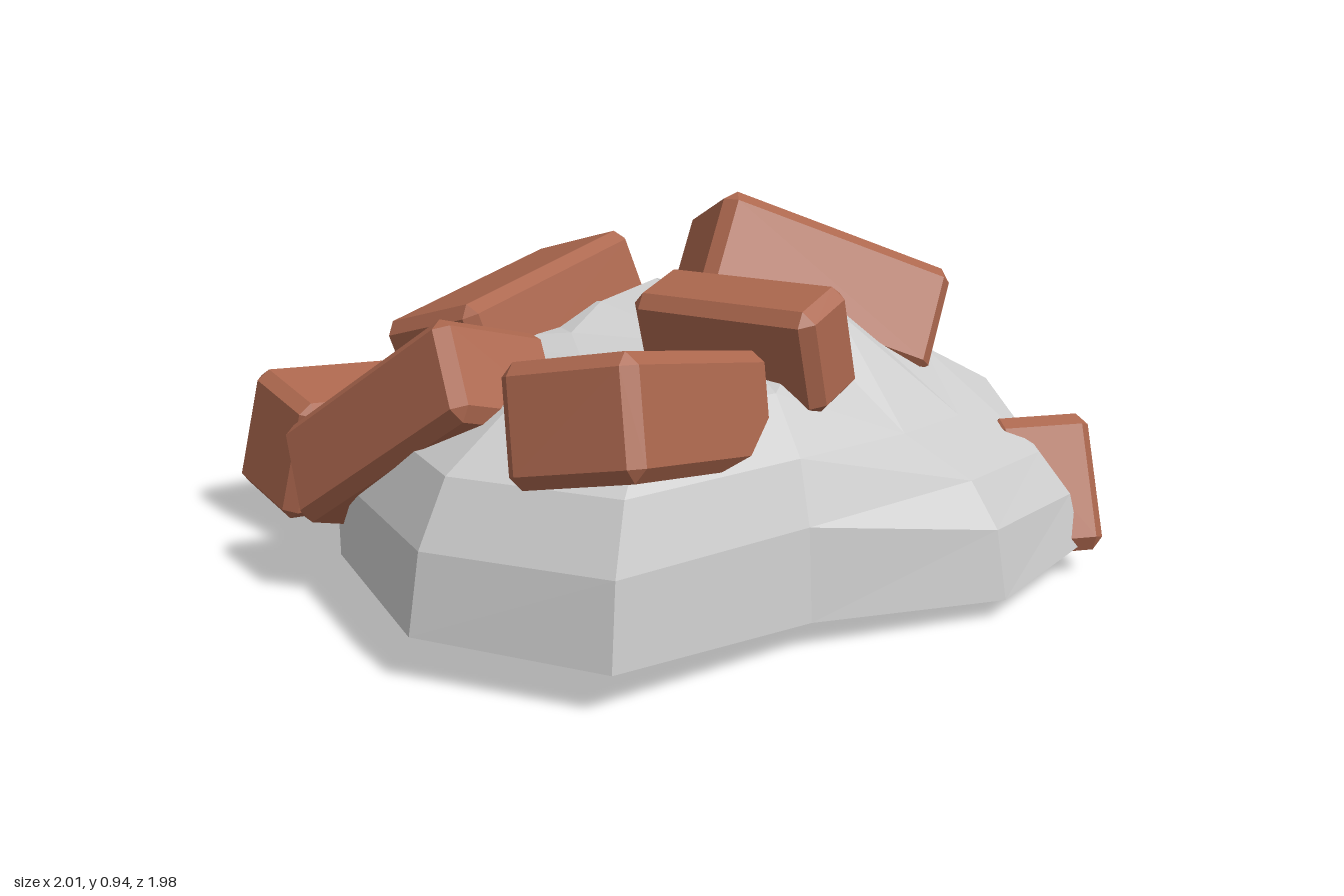
import * as THREE from 'three';
import { ConvexGeometry } from 'three/addons/geometries/ConvexGeometry.js';

// Chamfered brick: centre, long axis, rough up axis, [width, height, length], lowest allowed y
function brickGeometry(center, along, up, size = [0.31, 0.27, 0.65], floor = 0) {
  const L = new THREE.Vector3(...along).normalize();
  const W = new THREE.Vector3(...up).cross(L).normalize();
  const U = L.clone().cross(W);
  const matrix = new THREE.Matrix4().makeBasis(W, U, L).setPosition(...center);
  const bevel = 0.03;
  const points = [];
  for (const sx of [-1, 1]) for (const sy of [-1, 1]) for (const sz of [-1, 1]) {
    // three points per corner, each touching one face
    for (let face = 0; face < 3; face++) {
      const c = [sx, sy, sz].map((s, i) => s * (size[i] / 2 - (i === face ? 0 : bevel)));
      const p = new THREE.Vector3(...c).applyMatrix4(matrix);
      p.y = Math.max(p.y, floor);
      points.push(p);
    }
  }
  return new ConvexGeometry(points);
}

// Open-bottomed heap: an irregular outline shrunk towards the peak ring by ring
function moundGeometry() {
  // x, z, base height, height factor
  const outline = [
    [0.14, 0.99, 0.11, 1], [0.6, 0.84, 0.1, 1], [0.72, 0.28, 0.07, 0.98],
    [0.97, -0.17, 0.05, 0.74], [0.97, -0.55, 0.08, 0.72], [0.62, -0.85, 0.1, 0.9],
    [0.14, -0.95, 0.1, 0.93], [-0.33, -0.5, 0.12, 1], [-0.74, -0.58, 0.1, 0.95],
    [-0.85, -0.05, 0.1, 1], [-0.66, 0.5, 0.11, 1], [-0.3, 0.8, 0.14, 1],
  ];
  const rings = [[1, 0], [0.965, 0.3], [0.88, 0.45], [0.67, 0.57], [0.35, 0.62]];
  const peak = [0.14, 0.57, -0.05];
  const n = outline.length;
  const last = rings.length - 1;
  const positions = [], index = [];
  rings.forEach(([scale, height], r) => {
    for (const [x, z, base, factor] of outline) {
      const pz = peak[2] + (z - peak[2]) * scale;
      // the innermost ring slopes down towards the front
      const y = r === 0 ? base : r === last ? height - 0.2 * pz : height * factor;
      positions.push(peak[0] + (x - peak[0]) * scale, y, pz);
    }
  });
  positions.push(...peak);
  for (let r = 0; r <= last; r++) {
    for (let i = 0; i < n; i++) {
      const a = r * n + i, b = r * n + (i + 1) % n;
      if (r === last) index.push(a, b, rings.length * n);
      else index.push(a, b, b + n, a, b + n, a + n);
    }
  }
  const geometry = new THREE.BufferGeometry();
  geometry.setAttribute('position', new THREE.Float32BufferAttribute(positions, 3));
  geometry.setIndex(index);
  geometry.computeVertexNormals();
  return geometry;
}

export function createModel() {
  const group = new THREE.Group();
  group.name = 'brickRubblePile';
  const stone = new THREE.MeshStandardMaterial({ color: 0xcccccc, flatShading: true, side: THREE.DoubleSide });
  const clay = new THREE.MeshStandardMaterial({ color: 0xac674e, flatShading: true });

  const add = (name, geometry, material) => {
    const mesh = new THREE.Mesh(geometry, material);
    mesh.name = name;
    group.add(mesh);
  };

  add('mound', moundGeometry(), stone);

  const bricks = {
    // resting against the sides
    lowRightBrick: [[-0.8, 0.215, 0.25], [-0.14, 0.11, 0.98], [0.22, 0.97, 0], [0.28, 0.34, 0.65]],
    lowBackBrick: [[0.665, 0.11, -0.69], [0.73, 0.41, 0.55], [-0.33, 0.91, -0.25], [0.27, 0.35, 0.63], 0.04],
    frontBrick: [[-0.2, 0.435, 0.62], [0.82, 0.57, -0.08], [-0.54, 0.8, -0.3], [0.34, 0.26, 0.65]],
    // lying on top
    rightTopBrick: [[-0.39, 0.57, 0.06], [0.04, -0.16, 0.98], [-0.3, 0.95, 0.15], [0.35, 0.26, 0.66]],
    leftTopBrick: [[0.45, 0.575, 0.56], [0.18, 0.22, 0.96], [-0.25, 0.95, -0.2], [0.33, 0.27, 0.66]],
    peakBrick: [[0.24, 0.665, -0.37], [0.61, -0.37, -0.7], [-0.09, 0.846, -0.524], [0.31, 0.29, 0.65]],
    // partly buried
    middleBrick: [[0.35, 0.635, 0.06], [1, 0.03, -0.08], [0, 0.97, 0.25], [0.2, 0.27, 0.51]],
    buriedBackBrick: [[-0.055, 0.42, -0.385], [0.05, 0.1, 0.99], [-0.25, 0.95, 0], [0.26, 0.25, 0.64]],
  };
  for (const [name, spec] of Object.entries(bricks)) add(name, brickGeometry(...spec), clay);

  return group;
}
